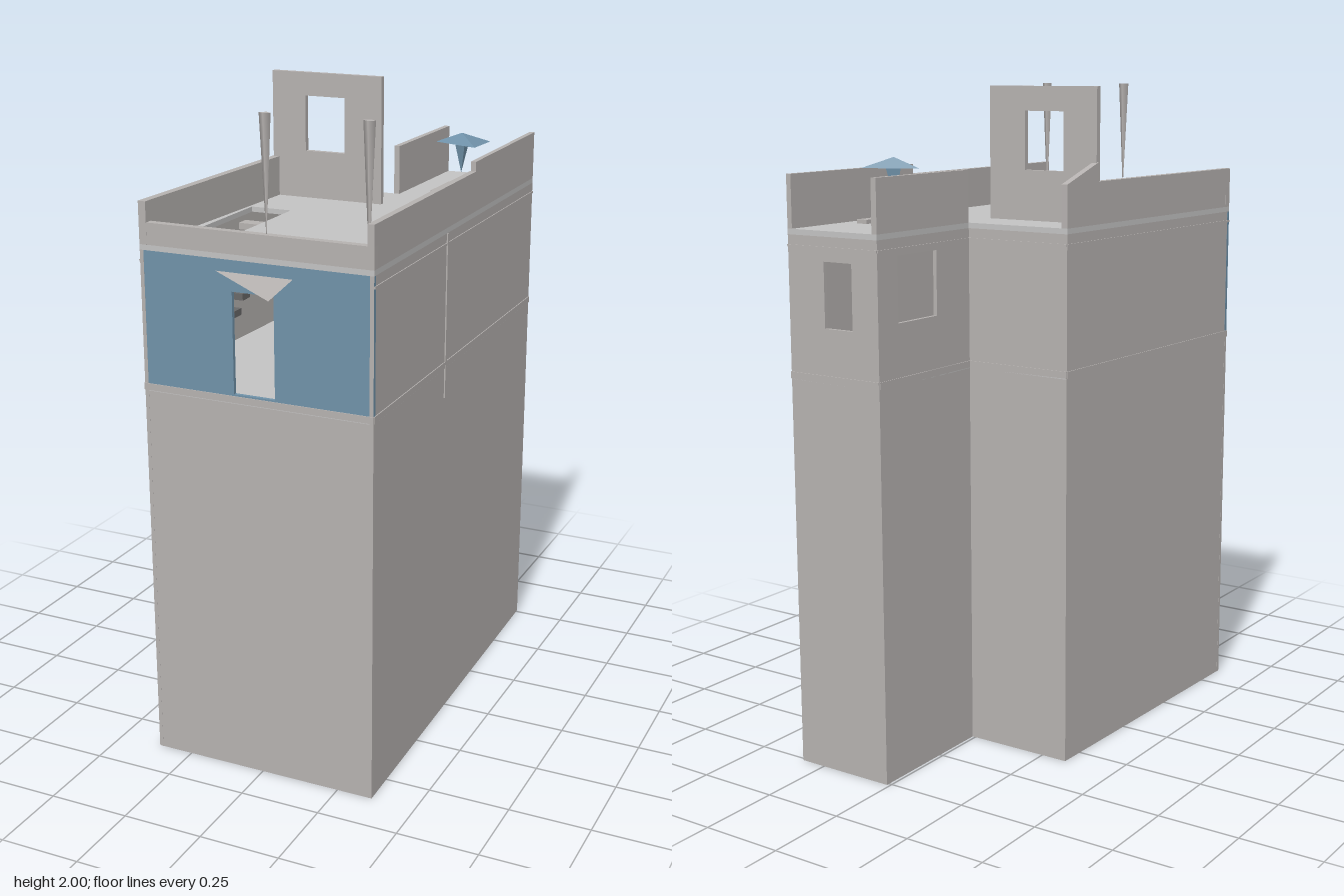
import * as THREE from 'three';

const mat = (name, color, side = THREE.FrontSide) => {
  const m = new THREE.MeshStandardMaterial({ color, side });
  m.name = name;
  return m;
};

// Footprint corners as [x, z], walked with the outside on the right hand
const P = [[-0.363, 0.615], [0.362, 0.615], [0.332, -0.76], [0.01, -0.76], [0.01, -0.33], [-0.333, -0.33]];

const rectPath = (x0, y0, x1, y1) =>
  new THREE.Path([[x0, y0], [x0, y1], [x1, y1], [x1, y0]].map(p => new THREE.Vector2(...p)));

// Point at a given z along the side a-b
const atZ = (a, b, z) => [a[0] + (b[0] - a[0]) * (z - a[1]) / (b[1] - a[1]), z];

export function createModel() {
  const model = new THREE.Group();
  const stone = mat('warm grey stone', 0xb5b1af);
  const roofGrey = mat('roof grey', 0xc2c2c2);
  const blue = mat('blue paint', 0x6f91a8);
  const blueSheet = mat('blue sheet', 0x6f91a8, THREE.DoubleSide);
  const stoneSheet = mat('grey sheet', 0xb5b1af, THREE.DoubleSide);
  const dark = mat('dark stair grey', 0x686868);

  const add = (name, geometry, material) => {
    const m = new THREE.Mesh(geometry, material);
    m.name = name;
    model.add(m);
    return m;
  };

  // Wall from a to b, thick towards the inside, with rectangular holes [u0, y0, u1, y1]
  const wall = (name, a, b, y0, y1, t, material, holes = [], out = 0, y1b = y1) => {
    const dx = b[0] - a[0], dz = b[1] - a[1], len = Math.hypot(dx, dz);
    const s = new THREE.Shape([[0, y0], [len, y0], [len, y1b], [0, y1]].map(p => new THREE.Vector2(...p)));
    for (const h of holes) s.holes.push(rectPath(...h));
    const g = new THREE.ExtrudeGeometry(s, { depth: t, bevelEnabled: false });
    g.translate(0, 0, out - t);
    const m = add(name, g, material);
    m.position.set(a[0], 0, a[1]);
    m.rotation.y = Math.atan2(-dz, dx);
    return m;
  };

  // Horizontal slab over the whole footprint
  const slab = (name, y, h, material, hole) => {
    const s = new THREE.Shape(P.map(([x, z]) => new THREE.Vector2(x, -z)));
    if (hole) s.holes.push(rectPath(...hole));
    const g = new THREE.ExtrudeGeometry(s, { depth: h, bevelEnabled: false });
    g.rotateX(-Math.PI / 2).translate(0, y, 0);
    return add(name, g, material);
  };

  const triangles = (name, pts, material) => {
    const g = new THREE.BufferGeometry();
    g.setAttribute('position', new THREE.Float32BufferAttribute(pts.flat(), 3));
    g.computeVertexNormals();
    return add(name, g, material);
  };

  // Two storeys of walls, the lower one open underneath
  const openings = {
    0: [[0.293, 1.2, 0.423, 1.5]],
    2: [[0.13, 1.33, 0.23, 1.52]],
    3: [[0.09, 1.35, 0.27, 1.54]],
  };
  P.forEach((a, i) => {
    const b = P[(i + 1) % P.length];
    wall('lowerWall', a, b, 0, 1.175, 0.012, stone);
    wall('upperWall', a, b, 1.19, 1.59, 0.012, i === 0 ? blue : stone, openings[i]);
    wall('floorTrim', a, b, 1.175, 1.195, 0.012, stone, [], 0.003);
    if (i !== 0) wall('eavesTrim', a, b, 1.555, 1.562, 0.005, stone, [], 0.003);
  });
  slab('upperFloor', 1.172, 0.02, roofGrey);
  slab('roof', 1.59, 0.016, roofGrey, [-0.31, -0.57, -0.175, -0.04]);

  // Upright seam on the right wall
  wall('wallSeam', atZ(P[1], P[2], 0.065), atZ(P[1], P[2], 0.055), 1.08, 1.59, 0.006, stone, [], 0.004);

  // Parapets
  const rightBreak = atZ(P[1], P[2], -0.18);
  const leftBreak = atZ(P[5], P[0], -0.17);
  wall('frontParapet', P[0], P[1], 1.606, 1.67, 0.025, stone);
  wall('rightParapet', P[1], rightBreak, 1.606, 1.73, 0.02, stone);
  wall('rightWingParapet', rightBreak, P[2], 1.606, 1.76, 0.016, stone);
  wall('leftWingParapet', P[3], P[4], 1.606, 1.76, 0.018, stone);
  wall('leftBackParapet', P[5], leftBreak, 1.606, 1.73, 0.02, stone, [], 0, 1.785);
  wall('leftParapet', leftBreak, P[0], 1.606, 1.73, 0.024, stone);

  // Tall roof screen with a square opening
  wall('roofScreen', [-0.334, -0.157], [0.04, -0.157], 1.606, 2, 0.018, stone, [[0.114, 1.755, 0.249, 1.928]]);

  // Slender tapering posts along the front edge
  for (const [x, y] of [[0.34, 1.63], [0.034, 1.67]]) {
    const post = add('roofPost', new THREE.CylinderGeometry(0.018, 0.001, 2 - y, 4), stone);
    post.position.set(x, (2 + y) / 2, 0.6);
    post.scale.z = 0.7;
  }

  // Staircase climbing to the roof opening
  const steps = 9;
  for (let i = 0; i < steps; i++) {
    const step = add('stairTread', new THREE.BoxGeometry(0.124, 0.02, 0.044), i ? dark : stone);
    step.position.set(-0.243, 1.565 - i * 0.04, 0.115 + i * 0.053);
  }

  // Canopy above the door
  triangles('doorCanopy', [[-0.12, 1.555, 0.616], [0.12, 1.53, 0.76], [0.12, 1.555, 0.616]], stoneSheet);

  // Blue three-cornered sunshade with a pointed stem
  const apex = [0.195, 1.797, -0.445];
  const rim = [[0.112, 1.765, -0.43], [0.265, 1.765, -0.375], [0.27, 1.765, -0.505]];
  const foot = [0.197, 1.67, -0.44];
  const stem = [[0.172, 1.77, -0.44], [0.215, 1.77, -0.42], [0.215, 1.77, -0.46]];
  const fan = (tip, ring) => ring.flatMap((p, i) => [p, ring[(i + 1) % 3], tip]);
  triangles('sunshade', fan(apex, rim), blueSheet);
  triangles('sunshadeStem', fan(foot, stem), blueSheet);

  // Low boards on the wing roof
  for (const x of [0.138, 0.25]) {
    const board = add('roofBoard', new THREE.BoxGeometry(0.036, 0.012, 0.16), stone);
    board.position.set(x, 1.612, -0.45);
  }
  return model;
}
